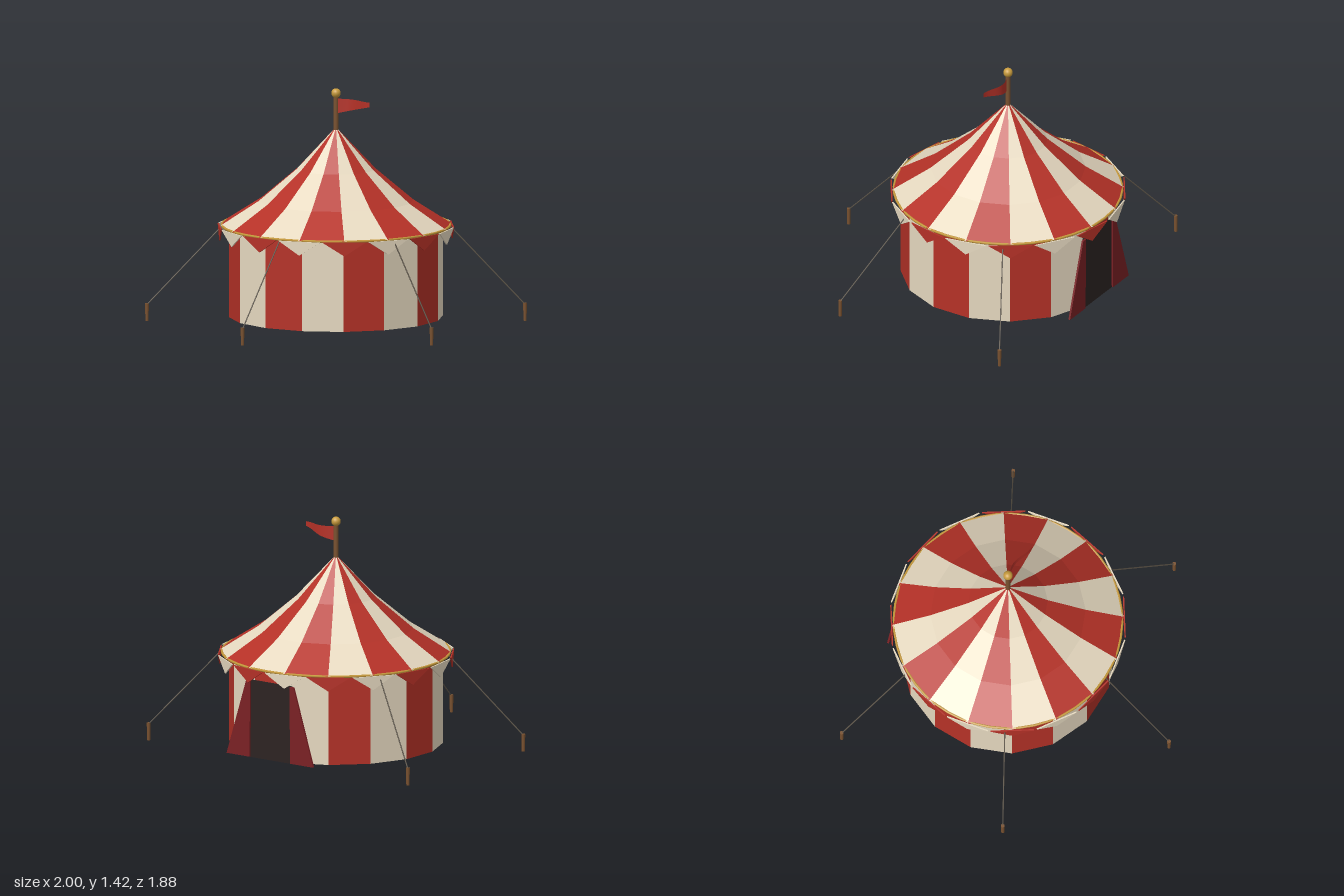
import * as THREE from 'three';
import { mergeGeometries } from 'three/addons/utils/BufferGeometryUtils.js';

const SIDES = 16;
const STEP = (Math.PI * 2) / SIDES;
const V2 = (x, y) => new THREE.Vector2(x, y);

export function createModel() {
  const make = (name, color, side = THREE.FrontSide) => {
    const m = new THREE.MeshStandardMaterial({ color, side });
    m.name = name;
    return m;
  };
  const red = make('red canvas', 0xb53127, THREE.DoubleSide);
  const cream = make('cream canvas', 0xe6d9c0, THREE.DoubleSide);
  const gold = make('gold trim', 0xc89b3c);
  const wood = make('wood', 0x7a5230);
  const rope = make('rope', 0x5e564a);
  const maroon = make('door curtain', 0x7a2024);
  const dark = make('door opening', 0x2c2322);

  const model = new THREE.Group();
  model.name = 'circusTent';
  const tent = new THREE.Group();
  tent.name = 'tent';
  tent.position.z = -0.22;
  model.add(tent);

  const add = (name, geometry, material, x = 0, y = 0, z = 0) => {
    const mesh = new THREE.Mesh(geometry, material);
    mesh.name = name;
    mesh.position.set(x, y, z);
    tent.add(mesh);
    return mesh;
  };

  // One flat-shaded panel of a 16-sided surface of revolution
  const panel = (profile, k) => {
    const g = new THREE.LatheGeometry(profile, 1, (k - 0.5) * STEP, STEP).toNonIndexed();
    g.computeVertexNormals();
    return g;
  };
  // Alternating stripes, merged by colour
  const stripes = (name, build, evenMaterial, oddMaterial) => {
    [evenMaterial, oddMaterial].forEach((material, parity) => {
      const parts = [];
      for (let k = parity; k < SIDES; k += 2) parts.push(build(k));
      add(name + (material === red ? 'Red' : 'Cream'), mergeGeometries(parts), material);
    });
  };

  // Striped wall and concave roof
  const wall = [V2(0.65, 0.03), V2(0.65, 0.6)];
  const roof = [V2(0.7, 0.59), V2(0.47, 0.737), V2(0.24, 0.93), V2(0.015, 1.17)];
  stripes('wall', (k) => panel(wall, k), red, cream);
  stripes('roof', (k) => panel(roof, k), cream, red);

  // Floor
  const floor = new THREE.CircleGeometry(0.65, SIDES, STEP / 2);
  floor.rotateX(Math.PI / 2);
  add('floor', floor, cream, 0, 0.03, 0);

  // Pennant valance below the eave
  const pennant = new THREE.Shape([V2(-0.132, 0), V2(0, -0.085), V2(0.132, 0)]);
  stripes('valance', (k) => {
    const g = new THREE.ExtrudeGeometry(pennant, { depth: 0.008, bevelEnabled: false });
    g.translate(0, 0.585, 0.7);
    return g.rotateY((k + 0.5) * STEP);
  }, cream, red);

  // Gold eave ring
  const ring = new THREE.TorusGeometry(0.69, 0.008, 6, 48);
  ring.rotateX(Math.PI / 2);
  add('eaveTrim', ring, gold, 0, 0.588, 0);

  // Pole, finial and waving flag
  add('pole', new THREE.CylinderGeometry(0.015, 0.015, 0.26, 10), wood, 0, 1.25, 0);
  add('finial', new THREE.SphereGeometry(0.029, 16, 12), gold, 0, 1.393, 0);
  const flag = new THREE.PlaneGeometry(1, 1, 12, 1);
  const p = flag.attributes.position;
  for (let i = 0; i < p.count; i++) {
    const t = p.getX(i) + 0.5;
    const y = p.getY(i) > 0 ? 1.36 - 0.005 * t : 1.272 + 0.055 * t;
    p.setXYZ(i, 0.015 + 0.23 * t, y, -0.021 * Math.sin(t * Math.PI * 1.5));
  }
  flag.computeVertexNormals();
  add('flag', flag, red);

  // Back doorway with curtains drawn to both sides
  add('doorway', new THREE.BoxGeometry(0.32, 0.48, 0.009), dark, 0, 0.267, -0.641);
  for (const s of [-1, 1]) {
    const shape = new THREE.Shape([
      V2(s * 0.155, 0.03), V2(s * 0.33, 0.03), V2(s * 0.18, 0.505), V2(s * 0.15, 0.505),
    ]);
    const curtain = new THREE.ExtrudeGeometry(shape, { depth: 0.012, bevelEnabled: false });
    add(s > 0 ? 'leftCurtain' : 'rightCurtain', curtain, maroon, 0, 0, -0.656);
  }

  // Guy ropes and stakes, leaving the doorway clear
  for (const k of [-2, -1, 0, 1, 2]) {
    const a = (k * Math.PI) / 3;
    const at = (r, y) => new THREE.Vector3(r * Math.sin(a), y, r * Math.cos(a));
    const foot = at(1.143, 0.1);
    const line = new THREE.LineCurve3(at(0.69, 0.58), foot);
    add('guyRope', new THREE.TubeGeometry(line, 1, 0.004, 6), rope);
    add('stake', new THREE.CylinderGeometry(0.012, 0.01, 0.108, 8), wood, foot.x, 0.054, foot.z);
  }

  return model;
}
